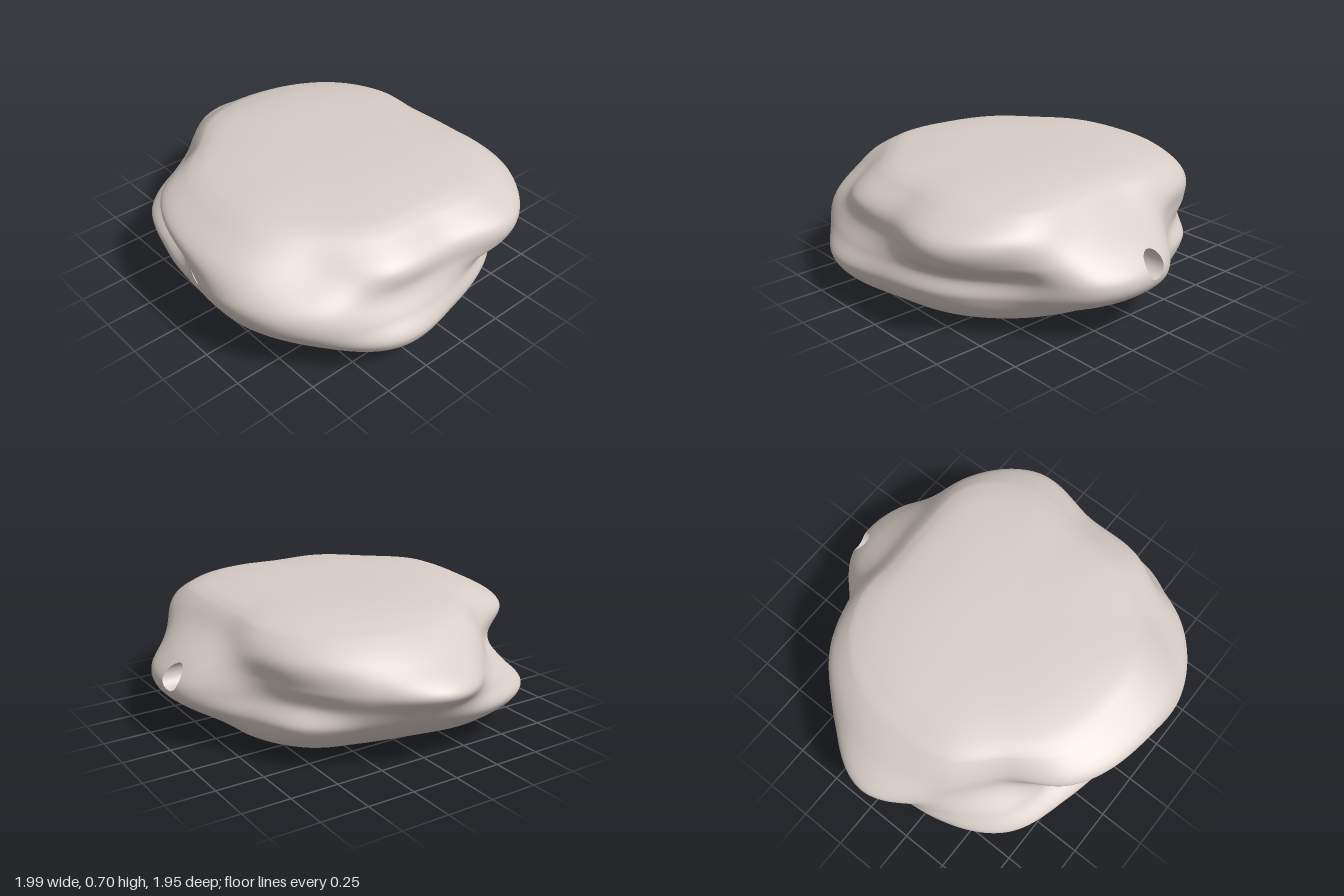
import * as THREE from 'three';

// Heights of the guide sections, and radii at those heights for 16 directions (+x turning toward +z)
const LEVELS = [0.04, 0.1, 0.22, 0.32, 0.42, 0.54, 0.64, 0.67];
const RADII = [
  [.68, .85, .94, .92, .90, .88, .75, .68],
  [.75, .94, 1.05, 1.00, .94, .92, .78, .71],
  [.72, .88, 1.01, 1.06, 1.03, .88, .76, .69],
  [.70, .85, .95, 1.02, 1.04, .97, .81, .74],
  [.64, .79, .88, .89, .92, .94, .77, .69],
  [.67, .82, .88, .78, .82, .88, .74, .66],
  [.72, .85, .96, .88, .77, .74, .67, .61],
  [.65, .78, .92, .90, .86, .80, .70, .62],
  [.57, .68, .84, .92, 1.00, .85, .69, .59],
  [.56, .67, .80, .85, .89, .83, .70, .60],
  [.61, .73, .82, .78, .81, .81, .70, .61],
  [.62, .73, .79, .77, .76, .75, .67, .59],
  [.62, .71, .91, .95, .88, .72, .62, .56],
  [.64, .74, .95, .99, .92, .79, .68, .61],
  [.67, .78, .86, .87, .94, .94, .83, .74],
  [.70, .82, .89, .88, .99, 1.00, .84, .75],
];
const TOP = 0.705, HOLE = { x: 0.06, y: 0.355, r: 0.065 };

function hermite(a, b, ma, mb, t) {
  const t2 = t * t, t3 = t2 * t;
  return (2 * t3 - 3 * t2 + 1) * a + (t3 - 2 * t2 + t) * ma + (3 * t2 - 2 * t3) * b + (t3 - t2) * mb;
}

// Smooth radius of one guide column at height y
function columnRadius(col, y) {
  const n = LEVELS.length;
  let i = 0;
  while (i < n - 2 && y > LEVELS[i + 1]) i++;
  const slope = (k) => {
    const a = Math.max(k - 1, 0), b = Math.min(k + 1, n - 1);
    return (col[b] - col[a]) / (LEVELS[b] - LEVELS[a]);
  };
  const h = LEVELS[i + 1] - LEVELS[i];
  return hermite(col[i], col[i + 1], slope(i) * h, slope(i + 1) * h, (y - LEVELS[i]) / h);
}

// Smooth radius of the stone in any direction and height
function radius(angle, y) {
  const n = RADII.length;
  const u = (((angle / (2 * Math.PI)) % 1) + 1) % 1 * n;
  const i = Math.floor(u);
  const [a, b, c, d] = [-1, 0, 1, 2].map((k) => columnRadius(RADII[(i + k + n) % n], y));
  return hermite(b, c, (c - a) / 2, (d - b) / 2, u - i);
}

// Depth of the front (side = 1) or back (side = -1) surface at x, y
function surfaceZ(x, y, side) {
  let z = side * 0.9;
  for (let k = 0; k < 25; k++) {
    const r = radius(Math.atan2(z, x), y);
    z = side * Math.sqrt(r * r - x * x);
  }
  return z;
}

function makeGeometry(positions, index) {
  const geo = new THREE.BufferGeometry();
  geo.setAttribute('position', new THREE.Float32BufferAttribute(positions, 3));
  geo.setIndex(index);
  geo.computeVertexNormals();
  return geo;
}

function stoneGeometry() {
  const around = 400, cap = 20, wall = 70;
  const y0 = LEVELS[0], y1 = LEVELS[LEVELS.length - 1];
  // Rings: domed underside, side wall, domed top (f shrinks the ring toward the axis)
  const rings = [];
  for (let i = 1; i < cap; i++) {
    const f = i / cap;
    rings.push({ y: y0 * f ** 4, at: y0, f });
  }
  for (let i = 0; i <= wall; i++) {
    const y = y0 + (y1 - y0) * i / wall;
    rings.push({ y, at: y, f: 1 });
  }
  for (let i = cap - 1; i > 0; i--) {
    const f = i / cap;
    rings.push({ y: TOP - (TOP - y1) * f ** 4, at: y1, f });
  }

  const positions = [], inside = [], index = [];
  for (const { y, at, f } of rings) {
    for (let j = 0; j < around; j++) {
      const angle = 2 * Math.PI * j / around;
      const r = radius(angle, at) * f;
      let p = [r * Math.cos(angle), y, r * Math.sin(angle)];
      // Pull points that fall in the hole out to its rim
      const dx = p[0] - HOLE.x, dy = y - HOLE.y, d = Math.hypot(dx, dy);
      const hit = f === 1 && d < HOLE.r;
      if (hit) {
        const s = HOLE.r / Math.max(d, 1e-5);
        const x = HOLE.x + dx * s, yy = HOLE.y + dy * s;
        p = [x, yy, surfaceZ(x, yy, Math.sign(p[2]))];
      }
      positions.push(...p);
      inside.push(hit);
    }
  }
  const tri = (a, b, c) => {
    if (!(inside[a] && inside[b] && inside[c])) index.push(a, b, c);
  };
  const bottom = positions.length / 3, top = bottom + 1;
  positions.push(0, 0, 0, 0, TOP, 0);
  inside.push(false, false);
  const last = (rings.length - 1) * around;
  for (let j = 0; j < around; j++) {
    const k = (j + 1) % around;
    for (let i = 0; i < rings.length - 1; i++) {
      const a = i * around + j, b = i * around + k;
      tri(a, a + around, b);
      tri(b, a + around, b + around);
    }
    tri(bottom, j, k);
    tri(top, last + k, last + j);
  }
  return makeGeometry(positions, index);
}

// Round bore whose ends follow the front and back surfaces
function boreGeometry() {
  const n = 64, positions = [], index = [];
  for (let i = 0; i < n; i++) {
    const a = 2 * Math.PI * i / n;
    const x = HOLE.x + HOLE.r * Math.cos(a), y = HOLE.y + HOLE.r * Math.sin(a);
    positions.push(x, y, surfaceZ(x, y, 1), x, y, surfaceZ(x, y, -1));
    const p = 2 * i, q = 2 * ((i + 1) % n);
    index.push(p, q, p + 1, q, q + 1, p + 1);
  }
  return makeGeometry(positions, index);
}

export function createModel() {
  const group = new THREE.Group();
  group.name = 'piercedStone';
  const stone = new THREE.MeshStandardMaterial({ color: 0xd8cec7 });
  stone.name = 'warm grey stone';
  const add = (name, geometry) => {
    const mesh = new THREE.Mesh(geometry, stone);
    mesh.name = name;
    group.add(mesh);
  };
  add('stoneBody', stoneGeometry());
  add('throughHole', boreGeometry());
  return group;
}
